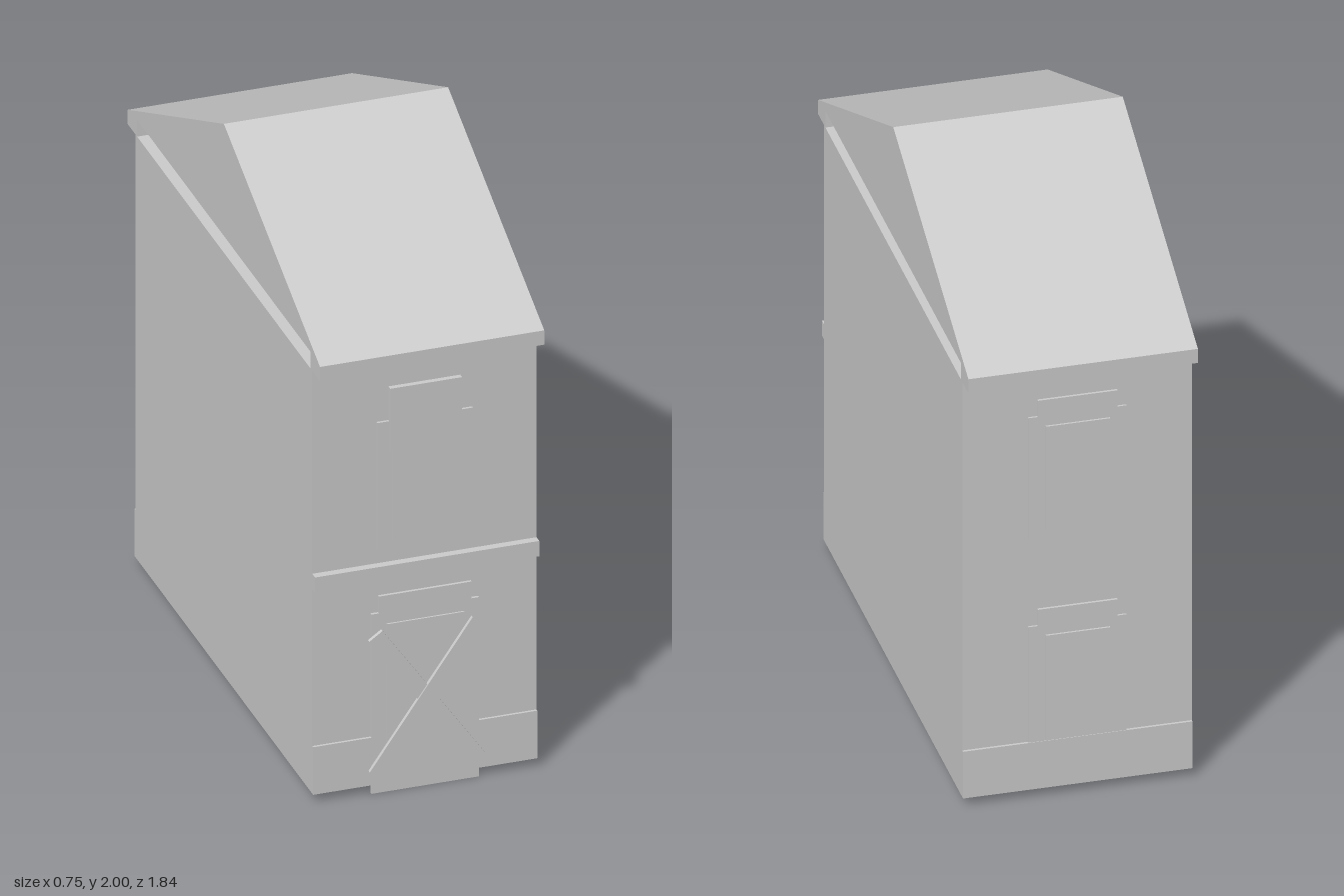
import * as THREE from 'three';

export function createModel() {
  const root = new THREE.Group();
  root.name = 'narrowHouse';
  const plaster = new THREE.MeshStandardMaterial({ color: 0xcccccc });
  plaster.name = 'light grey';
  const W = 0.375; // half width of the house
  const WALL = 0.845; // half depth of the walls

  const add = (parent, name, geometry) => {
    const mesh = new THREE.Mesh(geometry, plaster);
    mesh.name = name;
    parent.add(mesh);
    return mesh;
  };

  // Plate on a facade: half width, y range, distance it stands out of the wall
  const plate = (parent, name, halfW, y0, y1, out) => {
    const mesh = add(parent, name, new THREE.BoxGeometry(halfW * 2, y1 - y0, out));
    mesh.position.set(0, (y0 + y1) / 2, WALL + out / 2);
    return mesh;
  };

  // Side profile given as [z, y], extruded over the full width
  const profile = (parent, name, points) => {
    const shape = new THREE.Shape(points.map(([z, y]) => new THREE.Vector2(-z, y)));
    const geo = new THREE.ExtrudeGeometry(shape, { depth: W * 2, bevelEnabled: false });
    geo.translate(0, 0, -W);
    geo.rotateY(Math.PI / 2);
    return add(parent, name, geo);
  };

  // Walls
  add(root, 'walls', new THREE.BoxGeometry(W * 2, 1.51, WALL * 2)).position.y = 0.785;

  // Gable roof, open gap below it, carried by the eaves
  profile(root, 'roof', [[0.9, 1.6], [0, 2], [-0.9, 1.6]]);

  const front = new THREE.Group();
  front.name = 'frontFacade';
  const back = new THREE.Group();
  back.name = 'backFacade';
  back.rotation.y = Math.PI;
  root.add(front, back);

  for (const side of [front, back]) {
    profile(side, 'eave', [[0.83, 1.54], [0.92, 1.54], [0.92, 1.591], [0.9, 1.6], [0.83, 1.6]]);
    plate(side, 'plinth', W, 0.03, 0.2, 0.009);
  }

  // Back windows, one per floor
  for (const y of [0, 0.76]) {
    plate(back, 'windowFrame', 0.16, 0.18 + y, 0.62 + y, 0.007);
    plate(back, 'windowPane', 0.105, 0.21 + y, 0.585 + y, 0.014);
    plate(back, 'windowLintel', 0.13, 0.62 + y, 0.68 + y, 0.009);
  }

  // Front upper window with a board over its top
  plate(front, 'windowFrame', 0.16, 0.865, 1.32, 0.009);
  plate(front, 'windowPane', 0.11, 0.9, 1.3, 0.014);
  plate(front, 'windowBoard', 0.12, 1.22, 1.44, 0.018);

  // Band between the floors
  plate(front, 'floorBand', W, 0.76, 0.815, 0.027);

  // Front door with its sill and lintel
  plate(front, 'doorFrame', 0.18, 0, 0.64, 0.01);
  plate(front, 'doorPanel', 0.13, 0.06, 0.6, 0.016);
  plate(front, 'doorLintel', 0.155, 0.64, 0.7, 0.01);

  // Crossed planks nailed over the door
  for (const s of [-1, 1]) {
    const plank = add(front, 'crossedPlank', new THREE.BoxGeometry(0.603, 0.054, 0.013));
    plank.position.set(0, 0.323, s < 0 ? 0.868 : 0.873);
    plank.rotation.z = s * 0.963;
  }

  return root;
}
